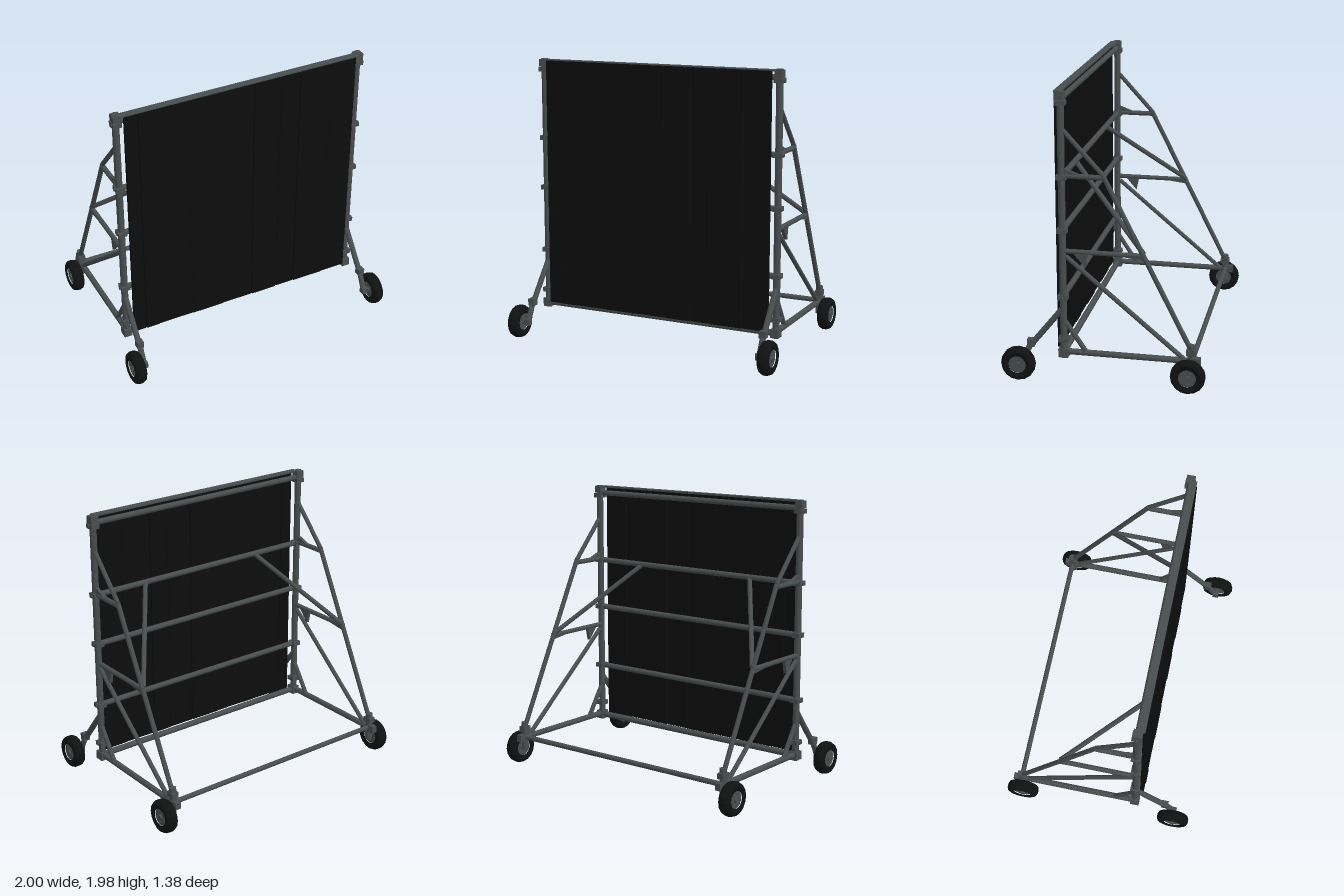
import * as THREE from 'three';

const steel = new THREE.MeshStandardMaterial({ color: 0x484d4d });
steel.name = 'grey steel';
const panelBlack = new THREE.MeshStandardMaterial({ color: 0x0d0d0d });
panelBlack.name = 'black panel';
const rubber = new THREE.MeshStandardMaterial({ color: 0x101111, flatShading: true });
rubber.name = 'black rubber';

const UP = new THREE.Vector3(0, 1, 0);

export function createModel() {
  const model = new THREE.Group();
  model.name = 'rollingScreen';

  function add(geometry, material, name, x = 0, y = 0, z = 0, parent = model) {
    const mesh = new THREE.Mesh(geometry, material);
    mesh.name = name;
    mesh.position.set(x, y, z);
    parent.add(mesh);
    return mesh;
  }
  const box = (name, w, h, d, x, y, z, mat = steel, parent = model) =>
    add(new THREE.BoxGeometry(w, h, d), mat, name, x, y, z, parent);

  // Round tube between two points
  function tube(name, a, b, r, parent = model) {
    const p = new THREE.Vector3(...a), q = new THREE.Vector3(...b);
    const dir = q.clone().sub(p);
    const mid = p.clone().add(q).multiplyScalar(0.5);
    const mesh = add(new THREE.CylinderGeometry(r, r, dir.length(), 10), steel, name, mid.x, mid.y, mid.z, parent);
    mesh.quaternion.setFromUnitVectors(UP, dir.normalize());
    return mesh;
  }

  // Triangular web plate in the side plane, given as [z, y] corners
  function gusset(name, x, corners, parent) {
    const shape = new THREE.Shape(corners.map(([z, y]) => new THREE.Vector2(-z, y)));
    const geo = new THREE.ExtrudeGeometry(shape, { depth: 0.024, bevelEnabled: false });
    geo.translate(0, 0, -0.012);
    geo.rotateY(Math.PI / 2);
    add(geo, steel, name, x, 0, 0, parent);
  }

  // Upright planks separated by narrow slits
  const seams = [-0.85, -0.76, -0.66, -0.4, -0.16, 0.075, 0.275, 0.42, 0.66, 0.85];
  const slits = [0, 0.007, 0, 0, 0, 0.008, 0.008, 0.008, 0.007, 0];
  for (let i = 0; i < seams.length - 1; i++) {
    const x0 = seams[i] + slits[i] / 2, x1 = seams[i + 1] - slits[i + 1] / 2;
    const z = 0.31 + (i % 2) * 0.004;
    box('plank', x1 - x0, 1.755, 0.024, (x0 + x1) / 2, 1.097, z, panelBlack);
  }

  // Cross rails behind the planks
  for (const y of [0.6, 1.06, 1.42, 1.93]) {
    tube('crossRail', [-0.89, y, 0.272], [0.89, y, 0.272], 0.02);
  }
  tube('bottomRail', [-0.89, 0.205, 0.272], [0.89, 0.205, 0.272], 0.022);
  box('topCap', 1.76, 0.012, 0.05, 0, 1.976, 0.292);
  tube('rearCrossbar', [-0.9, 0.215, -0.593], [0.9, 0.215, -0.593], 0.018);

  // Tyre and hub profiles, spun around the axle
  const tyreProfile = [[0.06, -0.034], [0.09, -0.043], [0.108, -0.034], [0.117, -0.014],
    [0.117, 0.014], [0.108, 0.034], [0.09, 0.043], [0.06, 0.034]].map(p => new THREE.Vector2(...p));

  function wheel(side, z, parent) {
    const g = new THREE.Group();
    g.name = 'wheel';
    g.position.set(side * 0.955, 0.127, z);
    g.rotation.z = -Math.PI / 2;
    parent.add(g);
    add(new THREE.LatheGeometry(tyreProfile, 16), rubber, 'tyre', 0, 0, 0, g);
    add(new THREE.CylinderGeometry(0.062, 0.062, 0.056, 16), steel, 'hubDisc', 0, 0, 0, g);
    add(new THREE.CylinderGeometry(0.02, 0.02, 0.08, 10), steel, 'hubCap', 0, 0, 0, g);
    for (let i = 0; i < 5; i++) {
      const a = i * Math.PI * 0.4;
      add(new THREE.CylinderGeometry(0.006, 0.006, 0.068, 6), steel, 'wheelBolt',
        Math.cos(a) * 0.04, 0, Math.sin(a) * 0.04, g);
    }
    // Axle reaching in to the frame
    tube('axle', [side * 0.885, 0.127, z], [side * 0.95, 0.127, z], 0.015, parent);
  }

  // Left and right side frames
  for (const s of [1, -1]) {
    const f = new THREE.Group();
    f.name = s > 0 ? 'leftFrame' : 'rightFrame';
    model.add(f);
    const x = s * 0.892;
    const bar = (name, z0, y0, z1, y1, r) => tube(name, [x, y0, z0], [x, y1, z1], r, f);

    bar('post', 0.27, 0.17, 0.27, 1.985, 0.024);
    bar('bottomTube', 0.27, 0.212, -0.6, 0.212, 0.021);
    bar('rearSlant', 0.0, 1.45, -0.585, 0.29, 0.017);
    bar('upperSlant', 0.26, 1.735, 0.0, 1.45, 0.016);
    bar('upperStrut', 0.27, 1.43, 0.0, 1.43, 0.018);
    bar('middleStrut', 0.27, 0.92, -0.265, 0.92, 0.017);
    bar('lowerDiagonal', 0.25, 0.885, -0.54, 0.222, 0.016);
    bar('footBrace', 0.26, 0.43, 0.12, 0.22, 0.017);
    bar('frontLeg', 0.28, 0.51, 0.5, 0.235, 0.02);

    // Slanted brace back to a cross rail
    tube('innerBrace', [s * 0.885, 0.935, -0.265], [s * 0.49, 1.41, 0.265], 0.017, f);

    // Webs where struts meet
    gusset('upperGusset', x, [[0.25, 1.48], [0.13, 1.435], [0.25, 1.42]], f);
    gusset('middleGusset', x, [[0.2, 0.915], [0.12, 0.82], [0.15, 0.8], [0.11, 0.915]].slice(0, 2).concat([[0.1, 0.915]]), f);
    gusset('slantGusset', x, [[-0.12, 0.91], [-0.28, 0.935], [-0.27, 0.89]], f);

    // Clamps along the post
    for (const y of [0.3, 0.6, 1.06, 1.42, 1.91]) {
      box('clamp', 0.062, 0.032, 0.066, x, y, 0.27, steel, f);
      tube('clampBolt', [s * 0.865, y, 0.272], [s * 0.93, y, 0.272], 0.011, f);
    }
    box('postCap', 0.056, 0.05, 0.058, x, 1.955, 0.272, steel, f);
    box('postFoot', 0.058, 0.06, 0.066, x, 0.205, 0.27, steel, f);

    // Front wheel bracket
    box('frontSocket', 0.046, 0.05, 0.05, x, 0.258, 0.495, steel, f);
    bar('frontFork', 0.495, 0.25, 0.56, 0.127, 0.02);
    box('frontAxleBlock', 0.04, 0.045, 0.045, x, 0.127, 0.565, steel, f);

    // Rear wheel bracket
    bar('rearSocket', -0.588, 0.12, -0.588, 0.325, 0.025);
    box('rearClamp', 0.05, 0.04, 0.064, x, 0.275, -0.588, steel, f);
    box('rearTubeEnd', 0.042, 0.05, 0.06, x, 0.212, -0.62, steel, f);

    wheel(s, 0.57, f);
    wheel(s, -0.575, f);
  }
  return model;
}
